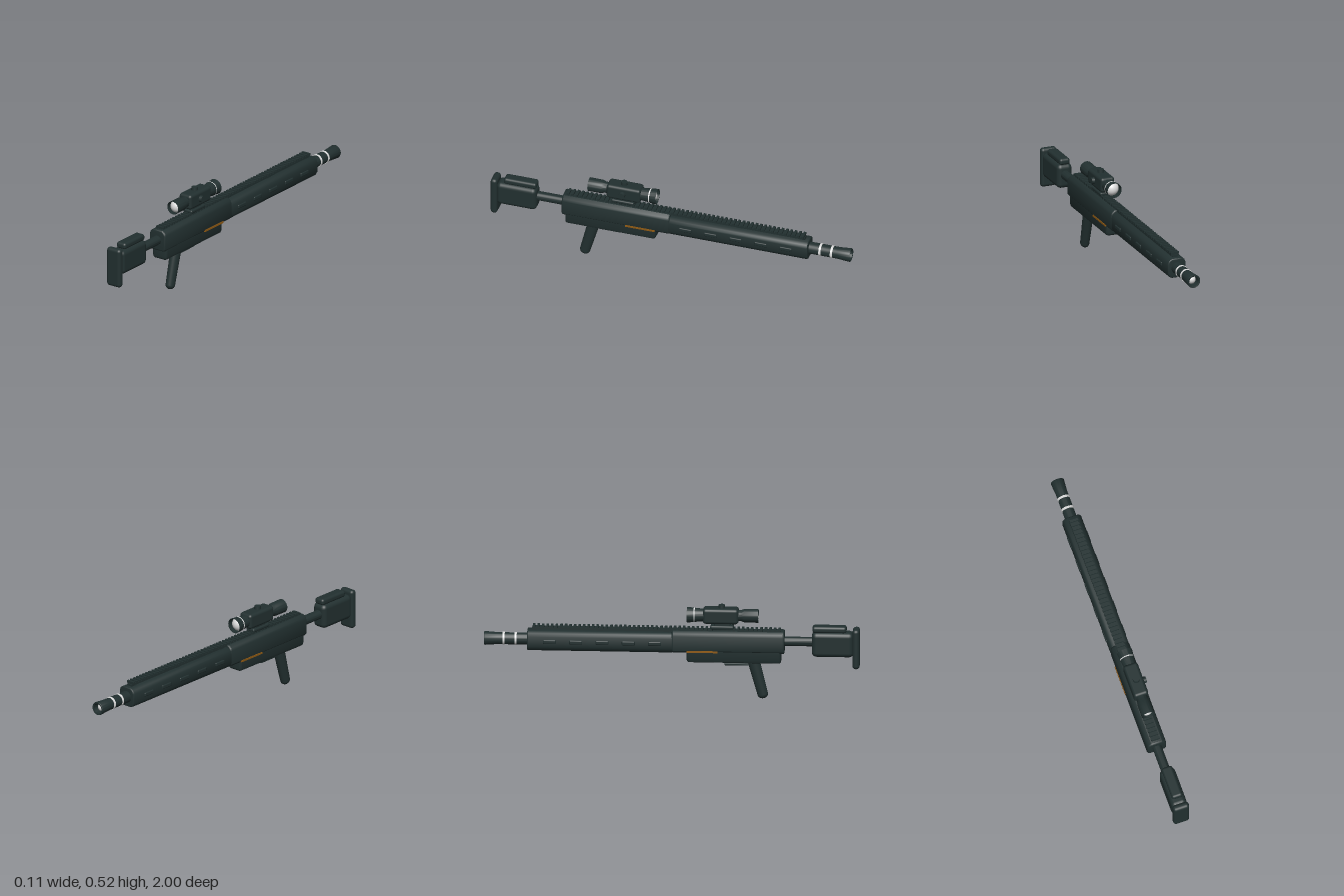
import * as THREE from 'three';
import { toCreasedNormals } from 'three/addons/utils/BufferGeometryUtils.js';
import { RoundedBoxGeometry } from 'three/addons/geometries/RoundedBoxGeometry.js';

export function createModel() {
  const model = new THREE.Group();
  const material = (name, color) => {
    const m = new THREE.MeshStandardMaterial({ color });
    m.name = name;
    return m;
  };
  const dark = material('dark gunmetal', 0x223030);
  const silver = material('pale silver', 0xdcdcdc);
  const amber = material('amber', 0x8f5a14);

  const add = (name, geometry, mat = dark) => {
    const mesh = new THREE.Mesh(geometry, mat);
    mesh.name = name;
    model.add(mesh);
    return mesh;
  };
  // Rounded box given by its extents
  const block = (name, x0, x1, y0, y1, z0, z1, r, mat = dark) => {
    const g = new RoundedBoxGeometry(x1 - x0, y1 - y0, z1 - z0, 3, r);
    return add(name, g.translate((x0 + x1) / 2, (y0 + y1) / 2, (z0 + z1) / 2), mat);
  };
  // Turned part along z; profile is [radius, z] with z rising on the outside
  const turned = (name, y, profile, mat = dark) => {
    const g = new THREE.LatheGeometry(profile.map(([r, z]) => new THREE.Vector2(r, z)), 36);
    return add(name, toCreasedNormals(g.rotateX(Math.PI / 2).translate(0, y, 0), 0.6), mat);
  };
  // Mirrored cross-section (right half, bottom to top) extruded along z
  const body = (name, half, z0, z1, bevel) => {
    const points = [...half, ...half.map(([x, y]) => [-x, y]).reverse()];
    const shape = new THREE.Shape(points.map(([x, y]) => new THREE.Vector2(x, y)));
    const g = new THREE.ExtrudeGeometry(shape, {
      depth: z1 - z0 - 2 * bevel, bevelThickness: bevel, bevelSize: bevel,
      bevelOffset: -bevel, bevelSegments: 3
    });
    return add(name, toCreasedNormals(g.translate(0, 0, z0 + bevel), 0.7));
  };
  // Lens dome, bulging toward +z or -z
  const dome = (name, r, y, z, direction) => {
    const g = new THREE.SphereGeometry(r, 32, 12, 0, Math.PI * 2, 0, Math.PI / 2);
    add(name, g.rotateX(direction * Math.PI / 2).translate(0, y, z - direction * r), silver);
  };

  // Stock
  block('buttPad', -0.045, 0.045, 0.18, 0.398, 0.962, 1, 0.017);
  block('stockBody', -0.043, 0.043, 0.243, 0.378, 0.745, 0.968, 0.025);
  block('cheekRest', -0.03, 0.03, 0.374, 0.41, 0.748, 0.93, 0.014);
  turned('stockTube', 0.32, [[0.025, 0.58], [0.025, 0.76]]);

  // Receiver
  body('upperReceiver', [[0.042, 0.26], [0.052, 0.272], [0.052, 0.35], [0.046, 0.364], [0.03, 0.377]], 0, 0.6, 0.008);
  body('lowerReceiver', [[0.032, 0.204], [0.042, 0.209], [0.048, 0.224], [0.048, 0.28]], 0.08, 0.582, 0.012);
  for (const s of [-1, 1]) {
    const strip = new THREE.BoxGeometry(0.008, 0.01, 0.165);
    add('amberStrip', strip.translate(s * 0.0515, 0.268, 0.162), amber);
  }

  // Grip and trigger bar
  const gripProfile = [];
  for (let i = 0; i <= 8; i++) {
    const a = (i / 8) * Math.PI / 2;
    gripProfile.push(new THREE.Vector2(0.024 * Math.sin(a), -0.024 * Math.cos(a)));
  }
  gripProfile.push(new THREE.Vector2(0.028, 0.21));
  const grip = add('grip', new THREE.LatheGeometry(gripProfile, 28));
  grip.scale.z = 1.18;
  grip.position.set(0, 0.026, 0.483);
  grip.rotation.x = -0.26;
  block('triggerBar', -0.012, 0.012, 0.183, 0.195, 0.28, 0.425, 0.004);
  block('triggerPost', -0.008, 0.008, 0.185, 0.215, 0.392, 0.41, 0.003);

  // Handguard with raised side vents
  body('handguard', [[0.028, 0.255], [0.042, 0.262], [0.052, 0.28], [0.052, 0.335], [0.044, 0.353], [0.028, 0.363]], -0.77, 0.005, 0.006);
  for (let i = 0; i < 5; i++) {
    const z = -0.09 - i * 0.14;
    for (const s of [-1, 1]) {
      block('sideVent', s * 0.05 - 0.007, s * 0.05 + 0.007, 0.297, 0.32, z - 0.035, z + 0.035, 0.006);
    }
  }

  // Top rail
  const railBase = new THREE.BoxGeometry(0.042, 0.01, 1.32);
  add('railBase', railBase.translate(0, 0.374, -0.08));
  const tooth = new THREE.BoxGeometry(0.048, 0.012, 0.013);
  for (let i = 0; i < 55; i++) {
    add('railTooth', tooth).position.set(0, 0.383, 0.572 - i * 0.0242);
  }
  for (const z of [-0.03, -0.38, -0.73]) {
    add('railFoot', new THREE.BoxGeometry(0.03, 0.02, 0.03)).position.set(0, 0.364, z);
  }

  // Barrel end with flared muzzle and silver rings
  turned('muzzle', 0.31, [
    [0.001, -0.96], [0.024, -0.96], [0.027, -0.998], [0.035, -1], [0.037, -0.996],
    [0.032, -0.93], [0.032, -0.76]
  ]);
  dome('muzzleInsert', 0.024, 0.31, -0.985, -1);
  for (const z of [-0.832, -0.896]) {
    turned('muzzleRing', 0.31, [[0.03, z - 0.006], [0.0345, z - 0.006], [0.0345, z + 0.006], [0.03, z + 0.006]], silver);
  }

  // Scope
  block('scopeMount', -0.028, 0.028, 0.385, 0.405, 0.205, 0.33, 0.008);
  block('scopeMountNeck', -0.02, 0.02, 0.395, 0.43, 0.225, 0.31, 0.005);
  block('scopeBody', -0.04, 0.04, 0.417, 0.5, 0.165, 0.355, 0.016);
  turned('scopeEyepiece', 0.458, [
    [0.03, 0.34], [0.03, 0.37], [0.036, 0.385], [0.037, 0.46], [0.035, 0.46], [0.035, 0.41]
  ]);
  dome('eyepieceLens', 0.035, 0.458, 0.458, 1);
  turned('scopeObjective', 0.458, [
    [0.039, 0.125], [0.039, 0.08], [0.042, 0.08], [0.034, 0.16], [0.034, 0.18]
  ]);
  dome('objectiveLens', 0.039, 0.458, 0.083, -1);

  // Scope knobs on top and on the left
  const knob = (name) => add(name, new THREE.CylinderGeometry(0.017, 0.019, 0.026, 24));
  knob('topKnob').position.set(0, 0.504, 0.265);
  const sideKnob = knob('sideKnob');
  sideKnob.rotation.z = -Math.PI / 2;
  sideKnob.position.set(0.043, 0.458, 0.265);

  return model;
}
